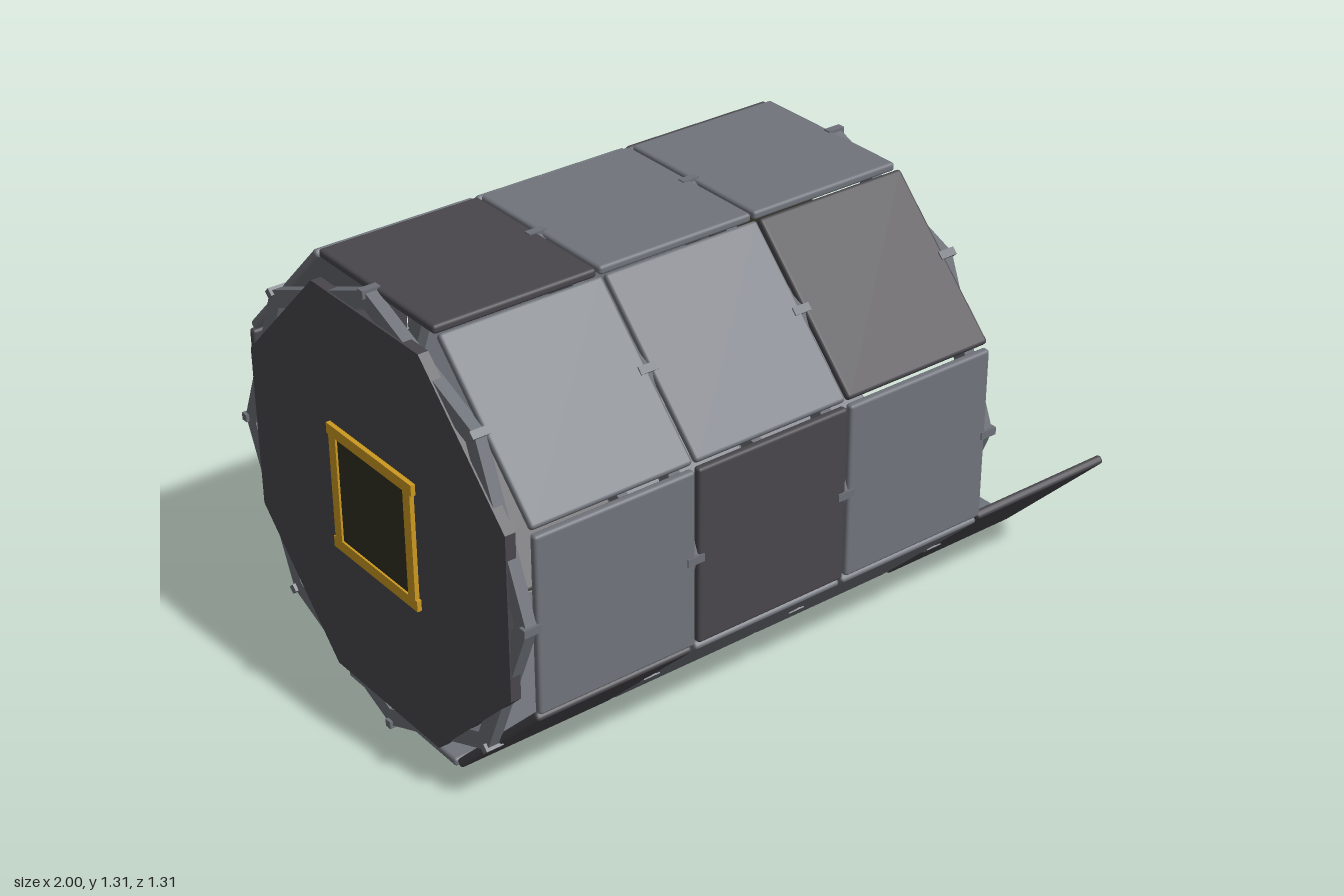
import * as THREE from 'three';
import { RoundedBoxGeometry } from 'three/addons/geometries/RoundedBoxGeometry.js';

const CENTRE_Y = 0.655;

function material(name, color) {
  const m = new THREE.MeshStandardMaterial({ color });
  m.name = name;
  return m;
}

function octagon(radius, PathType, phase = 0) {
  const path = new PathType();
  for (let i = 0; i < 8; i++) {
    const a = phase + i * Math.PI / 4;
    const x = radius * Math.cos(a), y = radius * Math.sin(a);
    if (i) path.lineTo(x, y); else path.moveTo(x, y);
  }
  path.closePath();
  return path;
}

export function createModel() {
  const lightGrey = material('light grey panel', 0x70747b);
  const darkGrey = material('dark grey panel', 0x48464b);
  const frameGrey = material('frame grey', 0x6c7077);
  const olive = material('dark olive', 0x313123);
  const gold = material('gold', 0xcc9820);

  const model = new THREE.Group();
  model.name = 'octagonalModule';
  const hull = new THREE.Group();
  hull.name = 'hull';
  hull.position.y = CENTRE_Y;
  model.add(hull);

  function add(parent, name, geometry, mat, x = 0, y = 0, z = 0) {
    const mesh = new THREE.Mesh(geometry, mat);
    mesh.name = name;
    mesh.position.set(x, y, z);
    parent.add(mesh);
    return mesh;
  }

  // Hull panels: one string per side, from the closed end to the open end
  // L = light, D = dark, O = olive, - = left open
  const sides = [
    ['top', 'DLL-'], ['upperFront', 'LLD-'], ['front', 'LDL-'], ['lowerFront', 'DLLD'],
    ['bottom', 'LLDL'], ['lowerBack', 'LDLL'], ['back', 'DLLO'], ['upperBack', 'LLD-'],
  ];
  const paint = { L: lightGrey, D: darkGrey, O: olive };
  const panel = new RoundedBoxGeometry(0.48, 0.025, 0.515, 2, 0.009);
  sides.forEach(([side, row], i) => {
    const group = new THREE.Group();
    group.name = side + 'Panels';
    group.rotation.x = i * Math.PI / 4;
    hull.add(group);
    [...row].forEach((key, col) => {
      if (key === '-') return;
      const mesh = add(group, side + 'Panel', panel, paint[key], -0.71 + col * 0.49, 0.638);
      // The loose end panels hang slightly askew
      if (col === 3) mesh.rotation.x = -0.015;
    });
  });

  // Ring frames with a small clamp on each corner
  const ringShape = octagon(0.65, THREE.Shape);
  ringShape.holes.push(octagon(0.598, THREE.Path));
  const ringGeometry = new THREE.ExtrudeGeometry(ringShape, { depth: 0.034, bevelEnabled: false });
  ringGeometry.translate(0, 0, -0.017);
  ringGeometry.rotateY(Math.PI / 2);
  const clamp = new THREE.BoxGeometry(0.052, 0.022, 0.022);
  for (const x of [-0.965, -0.47, 0.02, 0.52]) {
    const ring = new THREE.Group();
    ring.name = 'ringFrame';
    ring.position.x = x;
    hull.add(ring);
    add(ring, 'ring', ringGeometry, frameGrey);
    for (let i = 0; i < 8; i++) {
      const a = i * Math.PI / 4;
      const mesh = add(ring, 'clamp', clamp, frameGrey, 0, 0.643 * Math.cos(a), 0.643 * Math.sin(a));
      mesh.rotation.x = a;
    }
  }

  // Closed end wall
  const wall = new THREE.ExtrudeGeometry(octagon(0.628, THREE.Shape, Math.PI / 8), { depth: 0.03, bevelEnabled: false });
  wall.rotateY(Math.PI / 2);
  add(hull, 'endWall', wall, darkGrey, -0.987);

  // Square window with a gold surround on the end wall
  add(hull, 'windowPane', new THREE.BoxGeometry(0.008, 0.31, 0.31), olive, -0.99, 0.01);
  for (const s of [-1, 1]) {
    add(hull, 'windowFrameBar', new THREE.BoxGeometry(0.014, 0.032, 0.39), gold, -0.993, 0.01 + s * 0.171);
    add(hull, 'windowFramePost', new THREE.BoxGeometry(0.014, 0.31, 0.032), gold, -0.993, 0.01, s * 0.171);
  }

  // Small gold markers along the floor
  for (const x of [0.09, 0.21]) {
    add(hull, 'floorMarker', new THREE.BoxGeometry(0.045, 0.018, 0.046), gold, x, -0.546);
  }

  return model;
}
